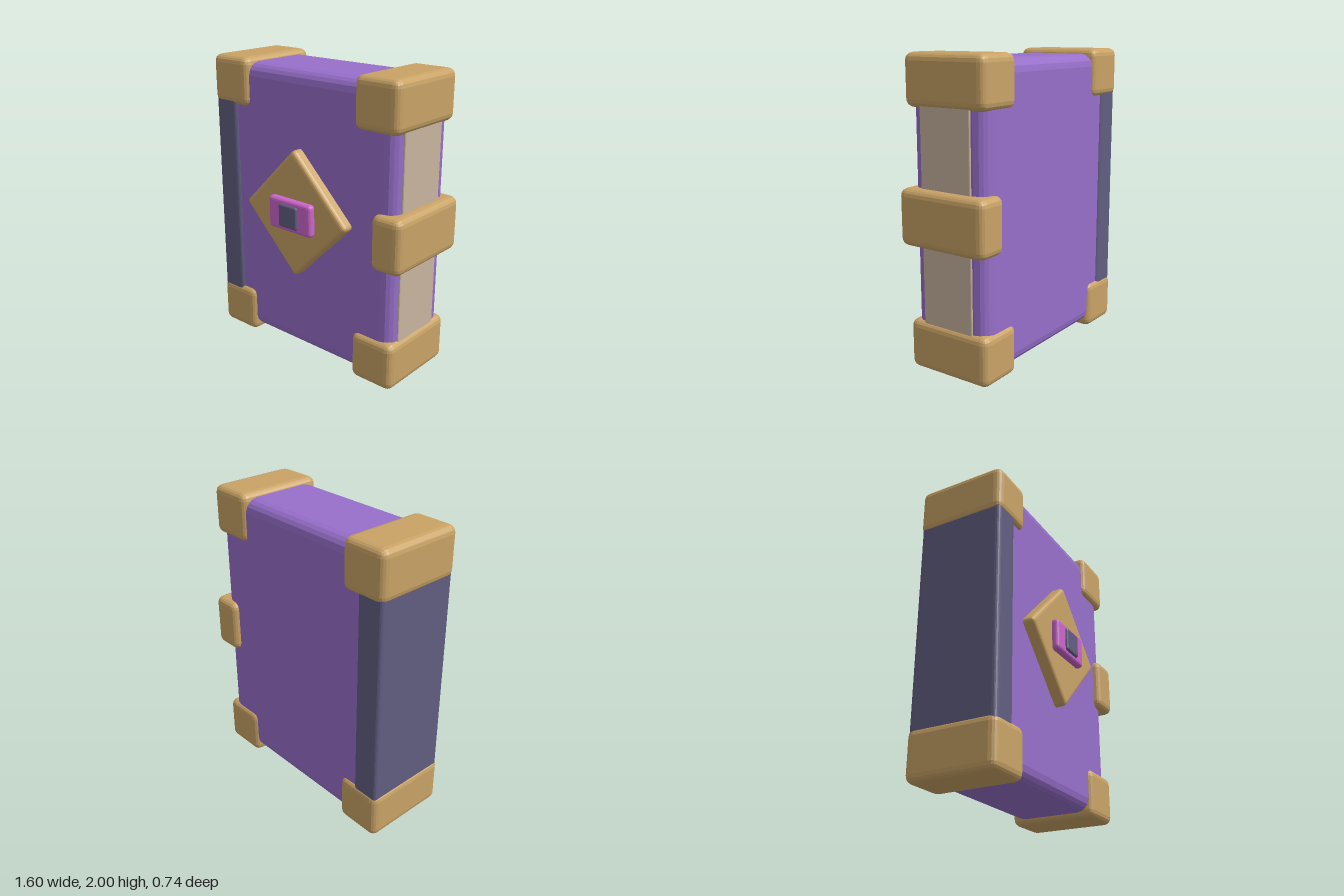
import * as THREE from 'three';
import { RoundedBoxGeometry } from 'three/addons/geometries/RoundedBoxGeometry.js';

const paint = (name, color) => {
  const m = new THREE.MeshStandardMaterial({ color, flatShading: true });
  m.name = name;
  return m;
};

export function createModel() {
  const book = new THREE.Group();
  book.name = 'book';

  const purple = paint('purple cover', 0x976fca);
  const gold = paint('gold', 0xc9a366);
  const slate = paint('slate', 0x615e80);
  const paper = paint('paper', 0xc9b5a0);
  const pink = paint('pink', 0xcc66cc);

  // Bevelled box given by its extents along each axis
  const block = (name, material, [x0, x1], [y0, y1], [z0, z1], radius) => {
    const geometry = new RoundedBoxGeometry(x1 - x0, y1 - y0, z1 - z0, 2, radius);
    const mesh = new THREE.Mesh(geometry, material);
    mesh.position.set((x0 + x1) / 2, (y0 + y1) / 2, (z0 + z1) / 2);
    mesh.name = name;
    book.add(mesh);
    return mesh;
  };

  // Cover, spine and page edges
  block('cover', purple, [-0.77, 0.718], [0.037, 1.967], [-0.325, 0.235], 0.085);
  block('spine', slate, [-0.79, -0.597], [0.2, 1.8], [-0.337, 0.257], 0.03);
  block('pages', paper, [0.5, 0.728], [0.25, 1.75], [-0.228, 0.155], 0.01);

  // Metal corner caps
  for (const [side, x] of [['right', [-0.8, -0.475]], ['left', [0.422, 0.747]]]) {
    for (const [level, y] of [['lower', [0, 0.328]], ['upper', [1.673, 2]]]) {
      block(`${level} ${side} corner`, gold, x, y, [-0.347, 0.265], 0.05);
    }
  }

  // Clasp wrapped around the page edges
  block('clasp', gold, [0.577, 0.797], [0.82, 1.185], [-0.37, 0.285], 0.05);

  // Diamond plate: a square turned on its point
  const cx = -0.027, cy = 1.04, half = 0.311;
  const diamond = block('diamond plate', gold, [cx - half, cx + half],
    [cy - half, cy + half], [0.17, 0.311], 0.028);
  diamond.rotation.z = Math.PI / 4;

  // Gem setting on the plate
  block('gem', pink, [-0.21, 0.158], [0.931, 1.149], [0.25, 0.355], 0.025);
  block('gem centre', slate, [-0.106, 0.052], [0.961, 1.119], [0.28, 0.371], 0.015);

  return book;
}
